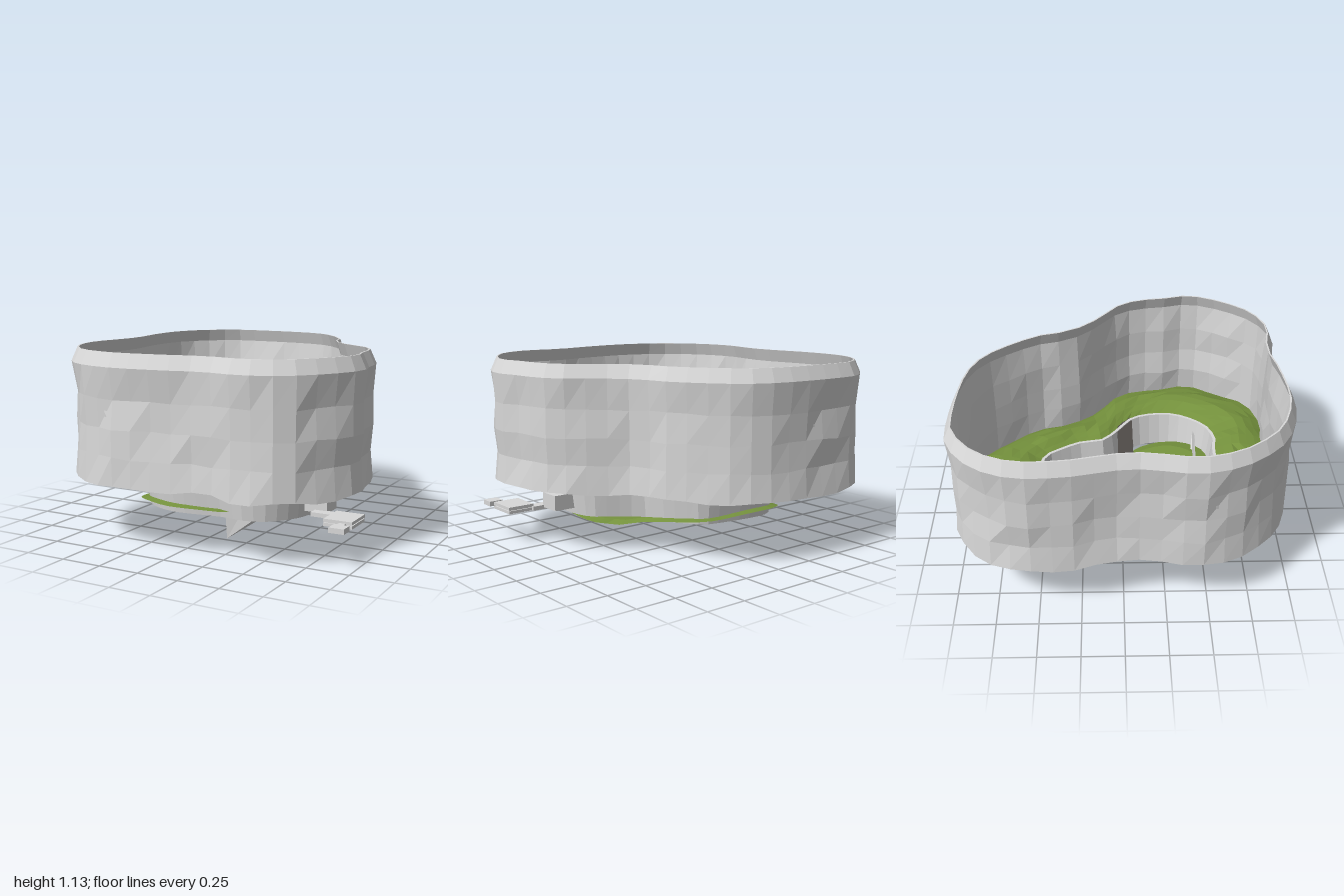
import * as THREE from 'three';

const SEG = 52;
const mat = (name, color) => {
  const m = new THREE.MeshStandardMaterial({ color, flatShading: true, side: THREE.DoubleSide });
  m.name = name;
  return m;
};

// repeatable hash in -1..1
const hash = (i, j) => {
  const s = Math.sin(i * 127.1 + j * 311.7) * 43758.5453;
  return (s - Math.floor(s)) * 2 - 1;
};

// closed plan outlines as [x, z], running clockwise seen from above
const OUTER = [[-.48, -1], [-.02, -.96], [.17, -.87], [.35, -.66], [.44, -.5], [.48, -.35], [.61, -.19],
  [.80, -.04], [.88, .1], [.91, .29], [.945, .46], [.9, .61], [.79, .79], [.68, .9], [.48, .975], [.21, .945],
  [-.02, .985], [-.37, 1], [-.65, .9], [-.82, .72], [-.89, .58], [-.925, .4], [-.88, .05], [-.945, -.34],
  [-.94, -.62], [-.84, -.83], [-.64, -.98]];
const INNER = [[-.36, -.56], [-.03, -.54], [.12, -.5], [.19, -.41], [.27, -.26], [.29, -.13], [.4, -.03],
  [.54, .08], [.59, .26], [.57, .4], [.44, .58], [.29, .635], [.16, .62], [-.19, .65], [-.39, .57], [-.51, .42],
  [-.55, .24], [-.52, 0], [-.56, -.16], [-.54, -.37], [-.47, -.49]];

// even samples of an outline, with outward normals
function outline(points) {
  const curve = new THREE.CatmullRomCurve3(points.map(([x, z]) => new THREE.Vector3(x, 0, z)), true);
  return Array.from({ length: SEG }, (_, i) => {
    const p = curve.getPointAt(i / SEG), t = curve.getTangentAt(i / SEG);
    return { p, n: new THREE.Vector3(t.z, 0, -t.x) };
  });
}

// one row of a loft: outline pushed outward by d at height y (numbers or rules of the column)
const value = (f, i) => (typeof f === 'function' ? f(i) : f);
const row = (loop, d, y) => loop.map(({ p, n }, i) =>
  p.clone().addScaledVector(n, value(d, i)).setY(value(y, i)));

// skin consecutive closed rows
function loft(rows) {
  const index = [];
  for (let r = 0; r < rows.length - 1; r++) {
    for (let i = 0; i < SEG; i++) {
      const a = r * SEG + i, b = r * SEG + (i + 1) % SEG;
      index.push(a, a + SEG, b, b, a + SEG, b + SEG);
    }
  }
  const g = new THREE.BufferGeometry().setFromPoints(rows.flat());
  g.setIndex(index);
  g.computeVertexNormals();
  return g;
}

export function createModel() {
  const model = new THREE.Group();
  const stone = mat('stone grey', 0xd8d8d8);
  const grass = mat('grass green', 0x75923d);
  const timber = mat('dark beam', 0x504c49);
  const add = (name, geometry, material, parent = model) => {
    const m = new THREE.Mesh(geometry, material);
    m.name = name;
    parent.add(m);
    return m;
  };
  const box = (name, material, size, pos, parent) => {
    const m = add(name, new THREE.BoxGeometry(...size), material, parent);
    m.position.set(...pos);
    return m;
  };
  const outer = outline(OUTER), inner = outline(INNER);

  // thin, rough outer wall with a bevelled rim, outside up and inside down
  const bottomY = i => 0.375 + 0.015 * hash(i >> 1, 9);
  const course = (k, shift) => row(outer,
    i => shift - 0.02 + 0.008 * hash(i, 3) + 0.012 * hash(i >> 1, k),
    i => [0.54, 0.7, 0.87][k] + 0.006 * hash(i, k + 20));
  add('outerWall', loft([
    row(outer, -0.006, bottomY),
    course(0, 0), course(1, 0), course(2, 0),
    row(outer, 0, 1.05),
    row(outer, -0.036, 1.13),
    row(outer, -0.046, 1.13),
    row(outer, -0.018, 1.05),
    course(2, -0.012), course(1, -0.012), course(0, -0.012),
    row(outer, -0.018, bottomY),
  ]), stone);

  // grass between the two walls, swelling up in the middle
  const grassRows = [];
  for (let k = 0; k <= 6; k++) {
    const t = k / 6, swell = Math.sin(Math.PI * t);
    grassRows.push(outer.map((o, i) => {
      const v = o.p.clone().addScaledVector(o.n, -0.012).lerp(inner[i].p, t);
      return v.setY(THREE.MathUtils.lerp(bottomY(i) + 0.005, 0.37, t) + (0.045 + 0.012 * hash(i >> 1, k + 40)) * swell);
    }));
  }
  add('grassRing', loft(grassRows), grass);

  // low inner wall, leaning in towards its foot
  add('innerWall', loft([
    row(inner, -0.03, 0.165), row(inner, 0, 0.385),
    row(inner, -0.02, 0.385), row(inner, -0.048, 0.165), row(inner, -0.03, 0.165),
  ]), stone);

  // sunken floor with a valley under the beam, its drooping edge overhanging the wall except at the front left
  const floorY = (x, z) => 0.145 + 0.085 * Math.min(1, Math.abs(z - 0.03) / 0.6)
    + 0.01 * Math.sin(x * 9 + 1) * Math.cos(z * 7);
  const floorRows = [];
  for (let k = 0; k <= 8; k++) {
    floorRows.push(inner.map(({ p, n }) => {
      const overhang = p.x > 0.2 && p.z > 0 ? -0.04 : 0.025;
      const v = new THREE.Vector3(-0.05, 0, 0.05).lerp(p.clone().addScaledVector(n, overhang), 1 - k / 8);
      return v.setY(floorY(v.x, v.z) - (k === 0 ? 0.02 : 0));
    }));
  }
  add('sunkenFloor', loft(floorRows), grass);

  // beam across the pit on two posts
  box('crossBeam', timber, [1.06, 0.035, 0.1], [0.01, 0.362, 0.03]);
  for (const x of [-0.235, 0.2]) box('beamPost', timber, [0.055, 0.23, 0.06], [x, 0.235, 0.03]);

  // thin upright fin through the floor, its top leaning forward
  const fin = new THREE.ShapeGeometry(new THREE.Shape(
    [[0.105, 0], [0.36, 0.17], [0.5, 0.3], [0.33, 0.375], [0.105, 0.21]].map(p => new THREE.Vector2(...p))));
  const finPos = fin.attributes.position;
  for (let i = 0; i < finPos.count; i++) finPos.setZ(i, finPos.getY(i) > 0.2 ? 0.5 : 0.475);
  fin.computeVertexNormals();
  add('fin', fin, stone);

  // chain of small blocks on the left side
  const latch = new THREE.Group();
  latch.name = 'sideLatch';
  model.add(latch);
  box('latchHousing', stone, [0.14, 0.095, 0.14], [0.63, 0.25, 0.295], latch);
  box('latchArm', stone, [0.15, 0.025, 0.07], [0.7, 0.205, 0.39], latch);
  for (const y of [0.2, 0.223]) box('latchPlate', stone, [0.17, 0.018, 0.19], [0.85, y, 0.47], latch);
  box('latchPlateCore', stone, [0.15, 0.03, 0.17], [0.85, 0.211, 0.47], latch);
  box('latchNeck', stone, [0.04, 0.02, 0.08], [0.88, 0.21, 0.59], latch);
  box('latchTip', stone, [0.09, 0.03, 0.08], [0.895, 0.21, 0.65], latch);

  return model;
}
